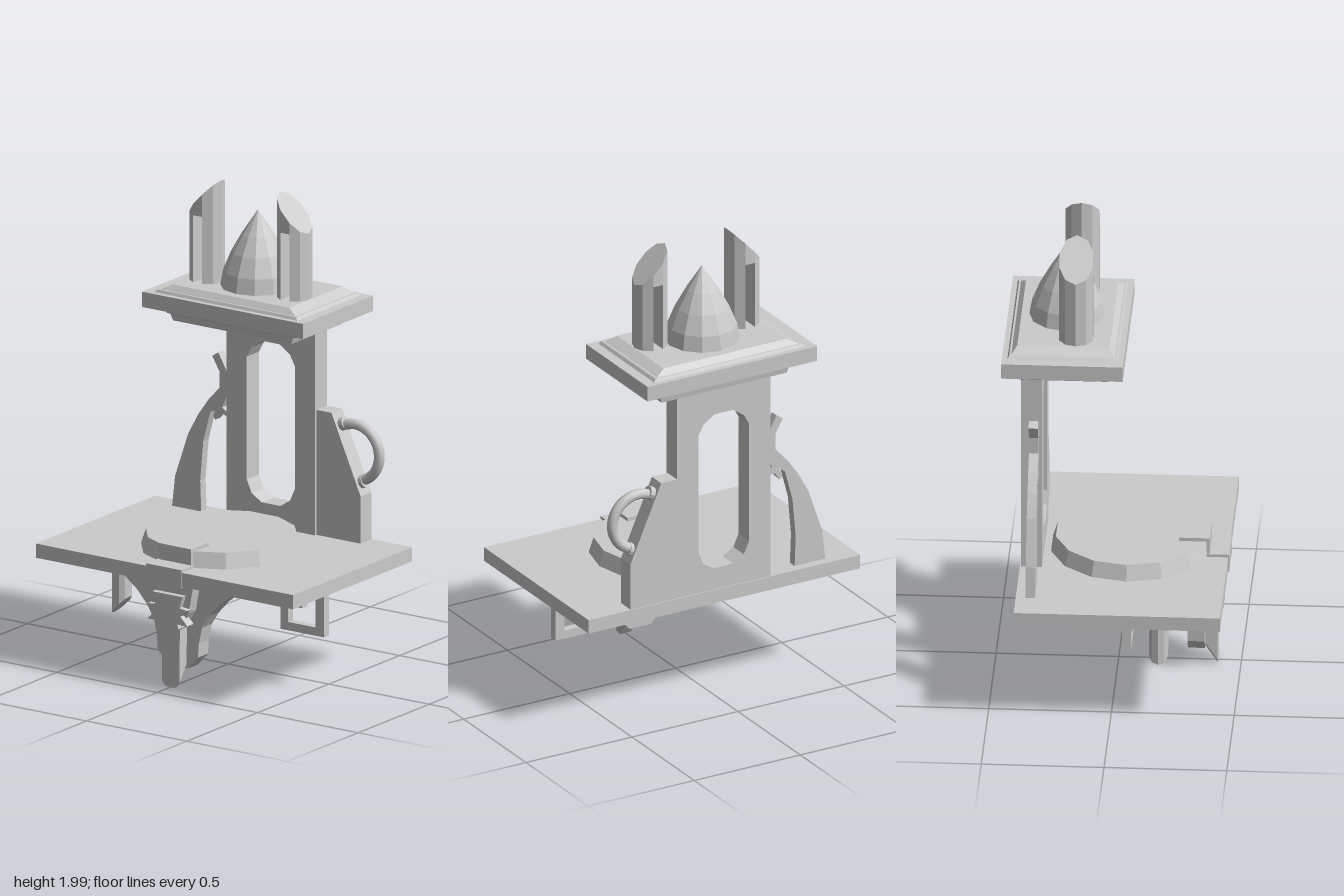
import * as THREE from 'three';

const flat = new THREE.MeshStandardMaterial({ color: 0xcccccc, flatShading: true });
const smooth = new THREE.MeshStandardMaterial({ color: 0xcccccc });

export function createModel() {
  const model = new THREE.Group();

  const add = (name, geometry, x = 0, y = 0, z = 0, material = flat, parent = model) => {
    const mesh = new THREE.Mesh(geometry, material);
    mesh.name = name;
    mesh.position.set(x, y, z);
    parent.add(mesh);
    return mesh;
  };
  const toShape = (pts) => new THREE.Shape(pts.map(([x, y]) => new THREE.Vector2(x, y)));
  const mirrored = (half) => [...half, ...half.map(([x, y]) => [-x, y]).reverse()];

  // Box given by its limits
  const box = (name, x0, x1, y0, y1, z0, z1, parent) =>
    add(name, new THREE.BoxGeometry(x1 - x0, y1 - y0, z1 - z0),
      (x0 + x1) / 2, (y0 + y1) / 2, (z0 + z1) / 2, flat, parent);

  // Outline in x and y, pushed from z0 to z1
  const slab = (name, pts, z0, z1, hole) => {
    const shape = toShape(pts);
    if (hole) shape.holes.push(new THREE.Path(hole.map(([x, y]) => new THREE.Vector2(x, y))));
    return add(name, new THREE.ExtrudeGeometry(shape, { depth: z1 - z0, bevelEnabled: false }), 0, 0, z0);
  };

  // Rectangular moulding, with half sizes changing from bottom to top
  const moulding = (name, y0, y1, bottom, top, z) => {
    const g = new THREE.BoxGeometry(2, y1 - y0, 2);
    const p = g.attributes.position;
    for (let i = 0; i < p.count; i++) {
      const [w, d] = p.getY(i) > 0 ? top : bottom;
      p.setX(i, p.getX(i) * w);
      p.setZ(i, p.getZ(i) * d);
    }
    add(name, g, 0, (y0 + y1) / 2, z);
  };

  // Upright prism from a plan outline, with slanted top given by topAt(x)
  const prism = (name, pts, y0, topAt, x, z, parent) => {
    const g = new THREE.ExtrudeGeometry(toShape(pts), { depth: 1, bevelEnabled: false });
    g.rotateX(-Math.PI / 2);
    const p = g.attributes.position;
    for (let i = 0; i < p.count; i++) p.setY(i, p.getY(i) > 0.5 ? topAt(p.getX(i)) : y0);
    return add(name, g, x, 0, z, flat, parent);
  };
  const ring = (r, from = 0, count = 10) => Array.from({ length: count }, (_, i) => {
    const a = (from + i) * Math.PI / 5;
    return [r * Math.cos(a), r * Math.sin(a)];
  });

  // Table and round plate
  box('tableTop', -0.64, 0.64, 0.46, 0.52, -0.39, 0.45);
  add('roundPlate', new THREE.CylinderGeometry(0.31, 0.33, 0.065, 14), 0, 0.5525, 0.05).rotation.y = Math.PI / 2;

  // Clasp folded over the plate and the table edge
  box('claspTop', -0.08, 0.08, 0.585, 0.6, 0.25, 0.375);
  box('claspDrop', -0.08, 0.08, 0.52, 0.6, 0.362, 0.375);
  box('claspLip', -0.088, 0.088, 0.52, 0.532, 0.362, 0.455);
  box('claspFront', -0.088, 0.088, 0.455, 0.532, 0.445, 0.455);

  // Back pillar with a long rounded opening
  const opening = mirrored([[0.045, 0.615], [0.095, 0.645], [0.12, 0.7], [0.12, 1.22], [0.095, 1.265], [0.045, 1.3]]);
  slab('pillar', [[-0.22, 0.52], [0.22, 0.52], [0.22, 1.41], [-0.22, 1.41]], -0.385, -0.3, opening);

  // Canopy
  const cz = -0.208;
  moulding('lowerMoulding', 1.41, 1.44, [0.295, 0.18], [0.305, 0.185], cz);
  moulding('middleMoulding', 1.44, 1.465, [0.315, 0.19], [0.335, 0.207], cz);
  box('canopySlab', -0.4, 0.4, 1.465, 1.53, -0.455, 0.04);
  moulding('upperMoulding', 1.53, 1.542, [0.355, 0.225], [0.345, 0.218], cz);
  moulding('canopyTop', 1.542, 1.565, [0.335, 0.21], [0.29, 0.188], cz);

  // Pointed dome
  const dome = [[0.155, 1.56], [0.143, 1.63], [0.11, 1.71], [0.068, 1.785], [0, 1.888]];
  add('dome', new THREE.LatheGeometry(dome.map(([r, y]) => new THREE.Vector2(r, y)), 12), 0, 0, -0.21);

  // Slotted turrets with slanted tops, higher on the inner side
  for (const side of [-1, 1]) {
    const turret = new THREE.Group();
    turret.name = side > 0 ? 'leftTurret' : 'rightTurret';
    model.add(turret);
    const r = 0.072;
    const topAt = (x) => 1.922 - side * (x / r) * 0.077;
    const put = (name, pts, y0) => prism(name, pts, y0, topAt, side * 0.217, -0.16, turret);
    const e = r * Math.cos(Math.PI * 0.4), h = r * Math.sin(Math.PI * 0.4);
    put('turretWall', ring(r, 3, 5), 1.56);
    put('turretWall', ring(r, -2, 5), 1.56);
    put('turretHead', [[-e, -h], [e, -h], [e, h], [-e, h]], 1.85);
  }

  // Side fin with ring handle
  slab('sideFin', [[0.22, 0.52], [0.44, 0.52], [0.44, 0.72], [0.295, 1.05], [0.22, 1.05]], -0.385, -0.31);
  const handle = add('ringHandle', new THREE.TorusGeometry(0.118, 0.022, 10, 24, Math.PI * 1.05), 0.387, 0.89, -0.35, smooth);
  handle.rotation.z = -Math.PI * 0.42;
  for (const [x, y] of [[0.325, 1.0], [0.42, 0.77]]) {
    const collar = add('handleCollar', new THREE.CylinderGeometry(0.028, 0.028, 0.03, 10), x, y, -0.35);
    collar.rotation.z = -1.16;
  }

  // Curved brace with forked end
  slab('curvedBrace', [
    [-0.5, 0.52], [-0.485, 0.65], [-0.42, 0.84], [-0.37, 0.93], [-0.32, 1.0], [-0.265, 1.06], [-0.265, 1.13],
    [-0.3, 1.19], [-0.27, 1.21], [-0.225, 1.13], [-0.222, 1.05], [-0.25, 0.98], [-0.222, 0.96], [-0.225, 0.945],
    [-0.26, 0.955], [-0.285, 0.922], [-0.297, 0.935], [-0.28, 0.975], [-0.31, 0.95], [-0.345, 0.82],
    [-0.36, 0.65], [-0.355, 0.52],
  ], -0.35, -0.312);

  // Rails hung under the table
  const rails = new THREE.Group();
  rails.name = 'hangingRails';
  model.add(rails);
  for (const [x, y] of [[-0.58, 0.34], [0.408, 0.34], [0.517, 0.235]]) {
    box('railFoot', x - 0.028, x + 0.028, 0.435, 0.46, 0.043, 0.093, rails);
    box('railPost', x - 0.021, x + 0.021, y, 0.44, 0.05, 0.086, rails);
  }
  box('longRail', -0.6, 0.429, 0.34, 0.372, 0.05, 0.086, rails);
  box('shortRail', 0.32, 0.538, 0.235, 0.27, 0.05, 0.086, rails);
  box('shortRailEnd', 0.32, 0.357, 0.235, 0.345, 0.05, 0.086, rails);

  // Slanted spout under the table
  add('spoutCollar', new THREE.CylinderGeometry(0.06, 0.06, 0.022, 10), -0.398, 0.449, 0.186);
  add('spoutNeck', new THREE.CylinderGeometry(0.058, 0.041, 0.025, 10), -0.398, 0.426, 0.186);
  const spout = prism('spout', ring(0.041), -0.42, (x) => -0.24 - x * 1.0, 0, 0);
  spout.position.set(-0.398, 0, 0.186);
  spout.rotation.x = Math.PI;

  // Flared support under the front edge
  slab('flaredSupport', mirrored([
    [0.05, 0.085], [0.1, 0.14], [0.104, 0.2], [0.12, 0.27], [0.155, 0.325], [0.205, 0.38], [0.27, 0.43], [0.2, 0.46],
  ]), 0.285, 0.355);

  // Tapered blade in front, its lower end cut back
  const blade = slab('frontBlade', mirrored([
    [0.025, 0.01], [0.043, 0.03], [0.045, 0.26], [0.09, 0.34], [0.112, 0.46],
  ]), 0.345, 0.405);
  const bp = blade.geometry.attributes.position;
  for (let i = 0; i < bp.count; i++) if (bp.getZ(i) < 0.03 && bp.getY(i) < 0.1) bp.setY(i, bp.getY(i) + 0.09);

  // Star-shaped ornament
  slab('starOrnament', mirrored([
    [0, 0.24], [0.055, 0.27], [0.05, 0.29], [0.1, 0.29], [0.065, 0.325], [0.1, 0.355], [0.06, 0.36], [0.075, 0.41], [0, 0.365],
  ].slice(1, -1)), 0.385, 0.43);

  return model;
}
